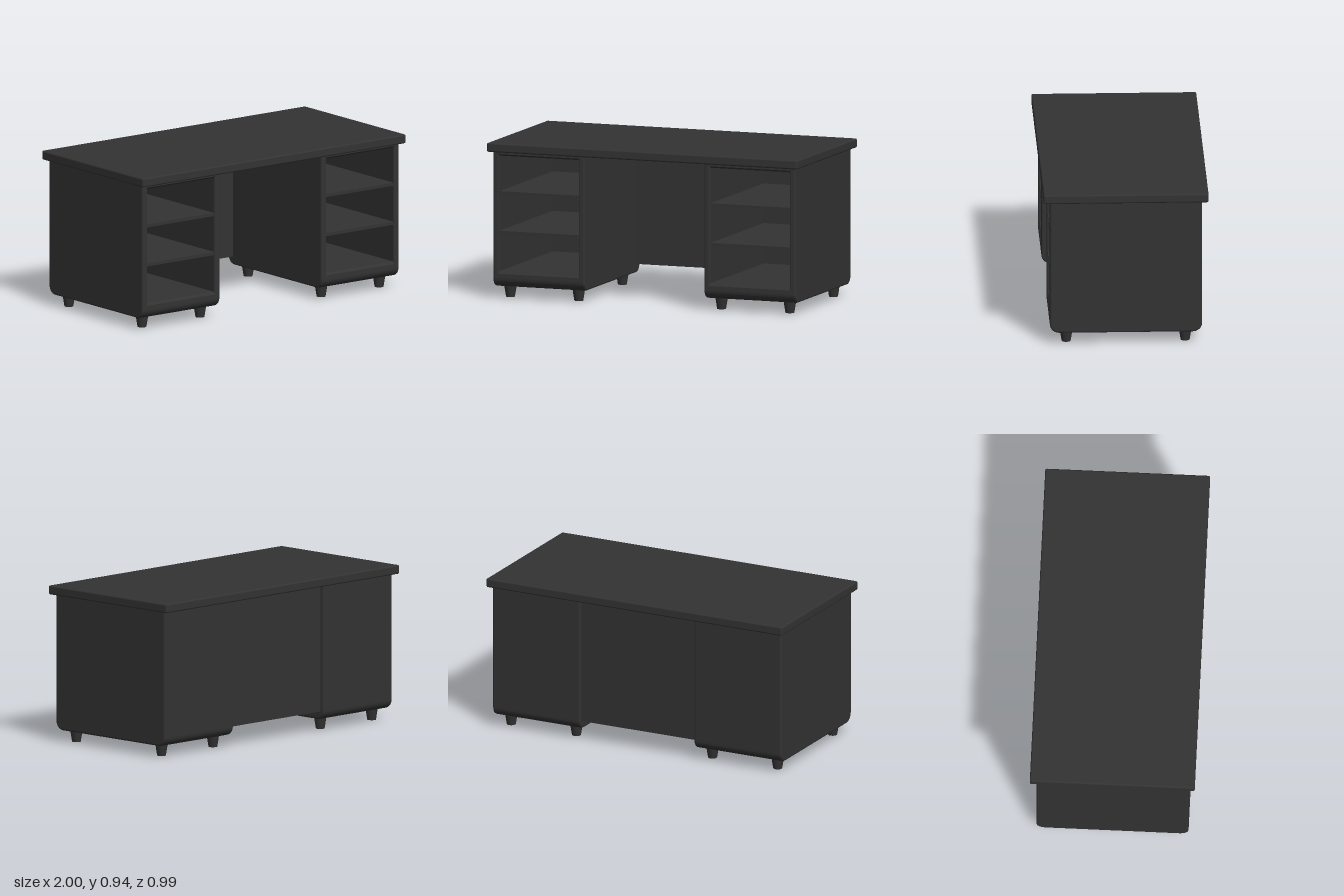
import * as THREE from 'three';
import { RoundedBoxGeometry } from 'three/addons/geometries/RoundedBoxGeometry.js';

const FRONT = 0.457, BASE = 0.07, TOP = 0.9, R = 0.055; // cabinet side outline
const WALL = 0.04, BEVEL = 0.01, WIDTH = 0.59;          // cabinet walls
const CABINET_X = 0.68;

export function createModel() {
  const desk = new THREE.Group();
  desk.name = 'desk';
  const material = new THREE.MeshStandardMaterial({ color: 0x333333 });

  const add = (parent, name, geometry, x = 0, y = 0, z = 0) => {
    const mesh = new THREE.Mesh(geometry, material);
    mesh.name = name;
    mesh.position.set(x, y, z);
    parent.add(mesh);
    return mesh;
  };

  // Side outline with rounded lower corners; shape x is -z of the model.
  // The front edge (shape x = -FRONT) is left to be closed by the caller.
  const sideOutline = () => {
    const s = new THREE.Shape();
    s.moveTo(-FRONT, BASE + R);
    s.absarc(-FRONT + R, BASE + R, R, Math.PI, Math.PI * 1.5, false);
    s.absarc(FRONT - R, BASE + R, R, Math.PI * 1.5, Math.PI * 2, false);
    s.lineTo(FRONT, TOP);
    s.lineTo(-FRONT, TOP);
    return s;
  };

  // Extrudes a side outline along x, centred on x = 0
  const extrudeAcross = (shape, width, bevel) => {
    const depth = width - 2 * bevel;
    const g = new THREE.ExtrudeGeometry(shape, {
      depth, curveSegments: 4, bevelEnabled: bevel > 0,
      bevelSize: bevel, bevelThickness: bevel, bevelOffset: -bevel, bevelSegments: 2,
    });
    return g.translate(0, 0, -depth / 2).rotateY(Math.PI / 2);
  };

  // Bottom, back and top in one piece, with a chamfered opening at the front
  const carcassShape = sideOutline();
  const back = FRONT - 0.035;
  [[-FRONT, 0.875], [-FRONT + BEVEL, 0.865], [back, 0.865], [back, 0.165],
    [-FRONT + BEVEL, 0.165], [-FRONT, 0.15]].forEach(([u, v]) => carcassShape.lineTo(u, v));
  const innerWidth = WIDTH - 2 * (WALL - BEVEL);
  const carcassGeometry = extrudeAcross(carcassShape, innerWidth, 0);
  const wallGeometry = extrudeAcross(sideOutline(), WALL, BEVEL);
  const shelfGeometry = new THREE.BoxGeometry(innerWidth, 0.02, 0.88);
  const footGeometry = new THREE.CylinderGeometry(0.04, 0.027, 0.08, 12);

  // Open drawer cabinets on both sides
  for (const side of [-1, 1]) {
    const cabinet = new THREE.Group();
    cabinet.name = side > 0 ? 'leftCabinet' : 'rightCabinet';
    cabinet.position.x = side * CABINET_X;
    desk.add(cabinet);

    add(cabinet, 'carcass', carcassGeometry);
    for (const y of [0.4, 0.64]) add(cabinet, 'shelf', shelfGeometry, 0, y, 0.01);
    for (const sx of [-1, 1]) {
      add(cabinet, 'sideWall', wallGeometry, sx * (WIDTH - WALL) / 2);
      for (const sz of [-1, 1]) add(cabinet, 'foot', footGeometry, sx * 0.22, 0.04, sz * 0.357);
    }
  }

  // Panel closing the knee space at the back
  add(desk, 'backPanel', new THREE.BoxGeometry(0.79, 0.78, 0.025), 0, 0.51, -0.42);

  // Table top
  add(desk, 'tableTop', new RoundedBoxGeometry(2, 0.055, 0.99, 2, 0.01), 0, 0.9175, 0);

  return desk;
}
